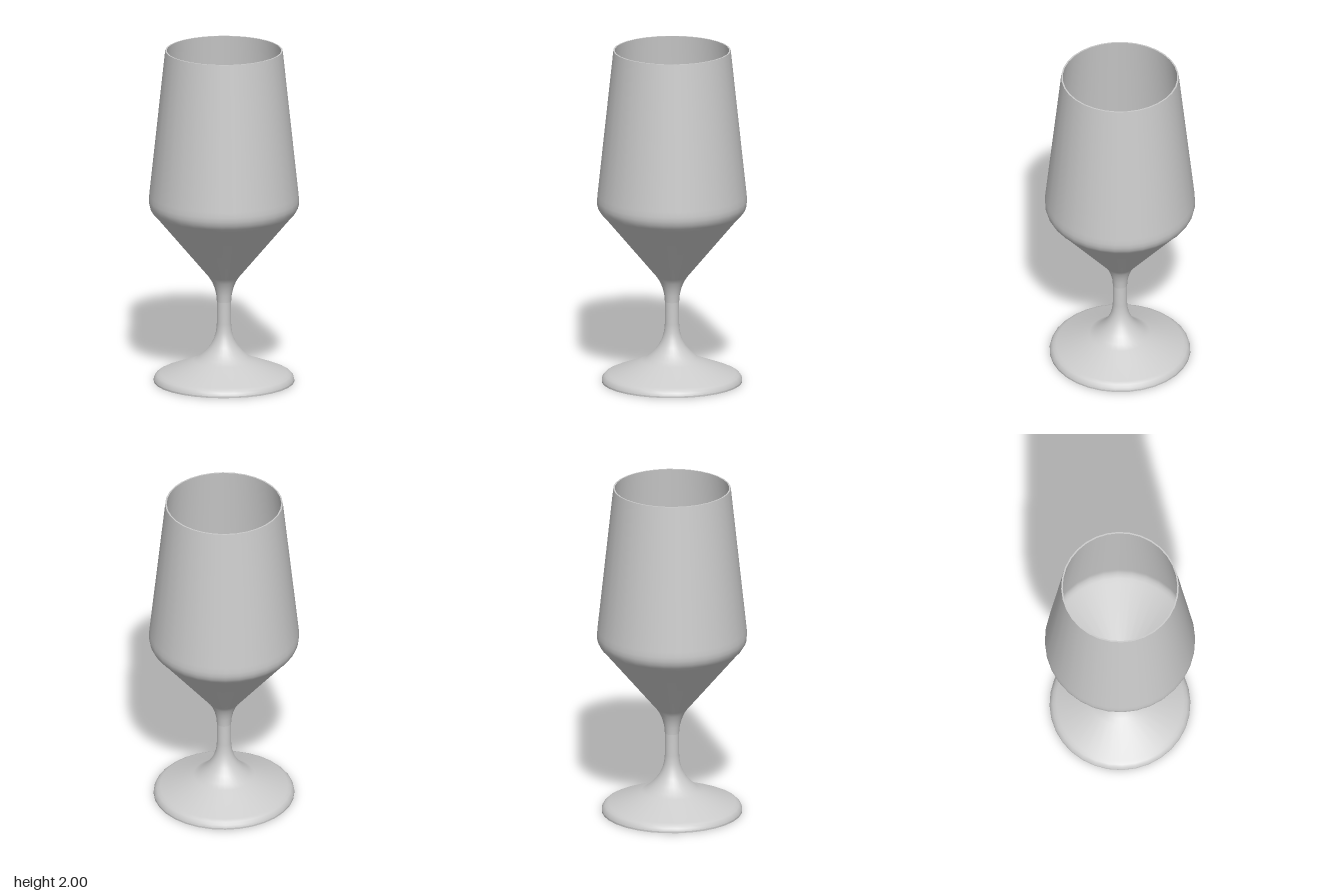
import * as THREE from 'three';

const SIDES = 32;

export function createModel() {
  const group = new THREE.Group();
  group.name = 'stemmedGlass';
  const material = new THREE.MeshStandardMaterial({ color: 0xcccccc });

  // Each part is a smooth lathe; separate parts keep their shared edges sharp.
  function addLathe(name, profile) {
    const points = profile.map(([r, y]) => new THREE.Vector2(r, y));
    const mesh = new THREE.Mesh(new THREE.LatheGeometry(points, SIDES), material);
    mesh.name = name;
    group.add(mesh);
  }

  // Flat underside and thin edge of the foot
  addLathe('footUnderside', [[0, 0], [0.413, 0]]);
  addLathe('footEdge', [[0.413, 0], [0.413, 0.01]]);

  // Foot top, flaring into the slim stem
  addLathe('footAndStem', [
    [0.413, 0.01], [0.408, 0.026], [0.395, 0.04], [0.375, 0.05],
    [0.18, 0.126], [0.145, 0.147], [0.11, 0.18], [0.08, 0.217],
    [0.059, 0.258], [0.047, 0.3], [0.042, 0.35], [0.042, 0.48],
  ]);

  // Bowl: flare from the stem, cone, rounded shoulder, tapering wall
  addLathe('bowlOutside', [
    [0.042, 0.48], [0.046, 0.525], [0.056, 0.565], [0.071, 0.602],
    [0.09, 0.632], [0.395, 0.998], [0.418, 1.022], [0.433, 1.046],
    [0.44, 1.072], [0.441, 1.098], [0.438, 1.13], [0.345, 2],
  ]);

  addLathe('rim', [[0.345, 2], [0.336, 2]]);

  // Inner wall, running down to a softly rounded bottom
  addLathe('bowlInside', [
    [0.336, 2], [0.429, 1.13], [0.432, 1.1], [0.431, 1.075],
    [0.424, 1.051], [0.41, 1.029], [0.388, 1.006], [0.11, 0.672],
    [0.085, 0.652], [0.05, 0.638], [0, 0.633],
  ]);

  return group;
}
